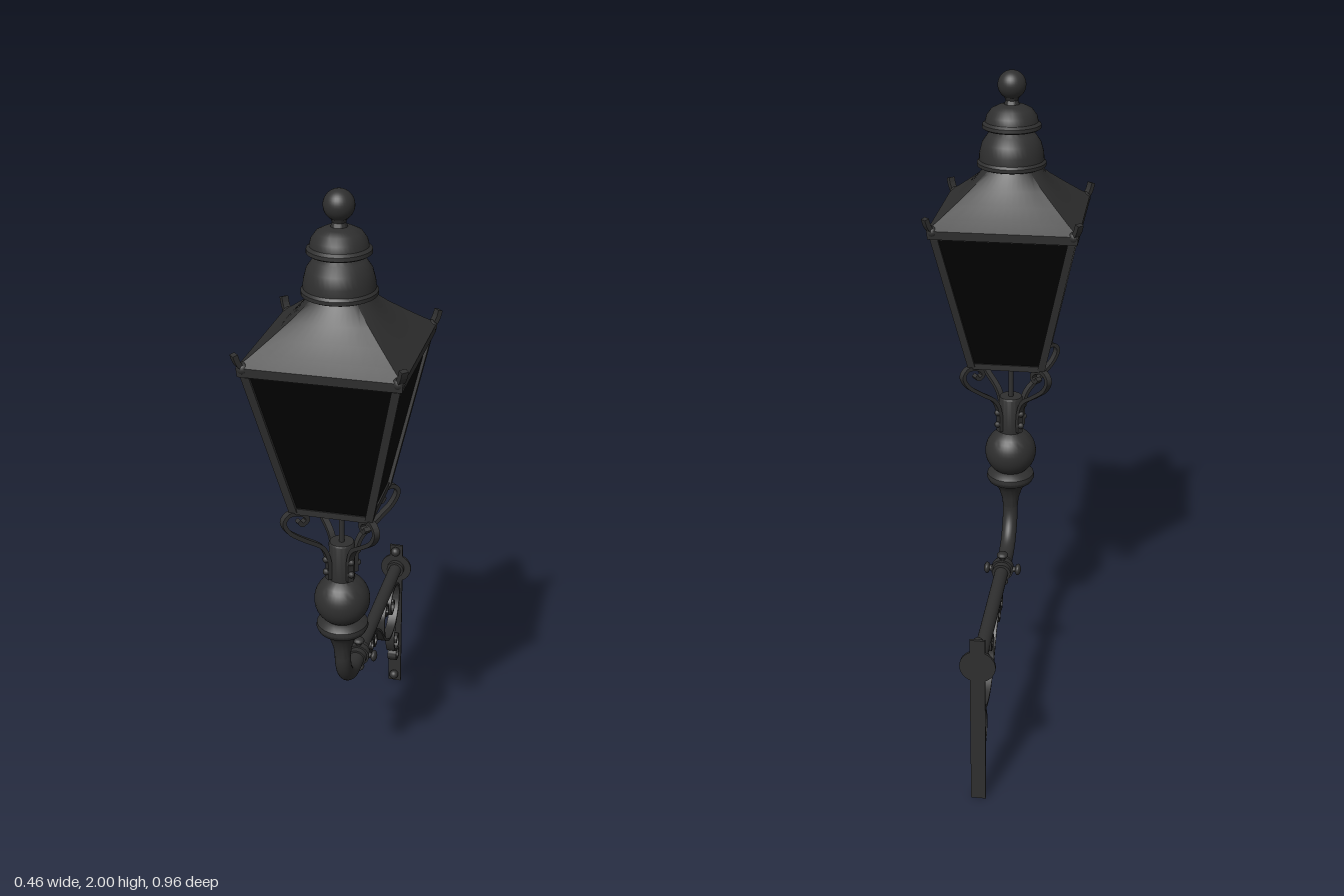
import * as THREE from 'three';
import { toCreasedNormals } from 'three/addons/utils/BufferGeometryUtils.js';

const iron = new THREE.MeshStandardMaterial({ color: 0x2f2f2f });
iron.name = 'iron';
const glass = new THREE.MeshStandardMaterial({ color: 0x020202 });
glass.name = 'dark glass';

const LAMP_Z = 0.25, ARM_Y = 0.475;

function add(parent, name, geometry, x = 0, y = 0, z = 0, material = iron) {
  const mesh = new THREE.Mesh(geometry, material);
  mesh.name = name;
  mesh.position.set(x, y, z);
  parent.add(mesh);
  return mesh;
}

const lathe = (pts, n = 40) =>
  toCreasedNormals(new THREE.LatheGeometry(pts.map(p => new THREE.Vector2(...p)), n), 0.6);

// Box-section bar between two points
function bar(parent, name, a, b, w, d) {
  const A = new THREE.Vector3(...a), B = new THREE.Vector3(...b);
  const mesh = add(parent, name, new THREE.BoxGeometry(w, A.distanceTo(B), d));
  mesh.position.copy(A).add(B).multiplyScalar(0.5);
  mesh.quaternion.setFromUnitVectors(new THREE.Vector3(0, 1, 0), B.sub(A).normalize());
}

// Flat strip of iron bent along a plane curve, extruded to a width
function strip(pts, thick, width) {
  const curve = new THREE.SplineCurve(pts.map(p => new THREE.Vector2(...p)));
  const n = pts.length * 6, left = [], right = [];
  for (let i = 0; i <= n; i++) {
    const p = curve.getPoint(i / n), t = curve.getTangent(i / n);
    left.push(new THREE.Vector2(p.x - t.y * thick / 2, p.y + t.x * thick / 2));
    right.unshift(new THREE.Vector2(p.x + t.y * thick / 2, p.y - t.x * thick / 2));
  }
  const g = new THREE.ExtrudeGeometry(new THREE.Shape([...left, ...right]),
    { depth: width, bevelEnabled: false });
  g.translate(0, 0, -width / 2);
  return toCreasedNormals(g, 0.6);
}

// Roof skin: square eaves blending upward into a round neck
function roofGeometry() {
  const rings = [[0.19, 1.56, 0], [0.214, 1.56, 0], [0.216, 1.585, 0], [0.185, 1.61, 0.02],
    [0.147, 1.645, 0.1], [0.113, 1.68, 0.3], [0.085, 1.715, 0.65], [0.066, 1.745, 1]];
  const n = 48, pos = [], idx = [];
  rings.forEach(([h, y, round], j) => {
    for (let i = 0; i <= n; i++) {
      const a = (i / n) * Math.PI * 2 + Math.PI / 4, c = Math.cos(a), s = Math.sin(a);
      const r = h * (round + (1 - round) / Math.max(Math.abs(c), Math.abs(s)));
      pos.push(r * s, y, r * c);
      if (j && i < n) {
        const q = (j - 1) * (n + 1) + i, u = q + n + 1;
        idx.push(q, q + 1, u + 1, q, u + 1, u);
      }
    }
  });
  const g = new THREE.BufferGeometry();
  g.setAttribute('position', new THREE.Float32BufferAttribute(pos, 3));
  g.setIndex(idx);
  return toCreasedNormals(g, 0.6);
}

function buildWallBracket() {
  const g = new THREE.Group();
  g.name = 'wallBracket';
  add(g, 'wallPlate', new THREE.BoxGeometry(0.044, 0.56, 0.008), 0, 0.284, -0.476);
  const disc = (name, r, len, z) =>
    add(g, name, new THREE.CylinderGeometry(r, r, len, 32).rotateX(Math.PI / 2), 0, ARM_Y, z);
  disc('wallRose', 0.052, 0.008, -0.476);
  disc('armSocket', 0.029, 0.016, -0.465);
  for (const y of [0.035, 0.545]) {
    add(g, 'wallBolt', new THREE.SphereGeometry(0.016, 16, 12), 0, y, -0.461);
  }

  // Arm and elbow
  add(g, 'arm', new THREE.CylinderGeometry(0.021, 0.021, 0.54, 24).rotateX(Math.PI / 2), 0, ARM_Y, -0.205);
  const elbow = [[0.05, ARM_Y]];
  for (let i = 0; i <= 10; i++) {
    const a = (i / 10) * Math.PI / 2;
    elbow.push([0.12 + 0.13 * Math.sin(a), ARM_Y + 0.13 * (1 - Math.cos(a))]);
  }
  const path = new THREE.CatmullRomCurve3(elbow.map(([z, y]) => new THREE.Vector3(0, y, z)));
  add(g, 'elbow', new THREE.TubeGeometry(path, 40, 0.024, 24));

  // Coupling with its set screws
  disc('coupling', 0.029, 0.06, 0.057);
  disc('couplingRing', 0.035, 0.022, 0.057);
  for (let i = 0; i < 4; i++) {
    const a = i * Math.PI / 2, c = Math.cos(a), s = Math.sin(a);
    const screw = new THREE.Group();
    screw.name = 'setScrew';
    screw.position.set(c * 0.04, ARM_Y + s * 0.04, 0.057);
    screw.rotation.z = a - Math.PI / 2;
    g.add(screw);
    add(screw, 'screwStem', new THREE.CylinderGeometry(0.009, 0.009, 0.02, 12));
    add(screw, 'screwHead', new THREE.SphereGeometry(0.018, 14, 10).scale(1, 0.55, 1), 0, 0.009, 0);
  }

  // Scrollwork below the arm, points as (z, y)
  const scrolls = [
    [[-0.07, 0.452], [-0.13, 0.442], [-0.19, 0.4], [-0.25, 0.33], [-0.32, 0.283], [-0.39, 0.28], [-0.445, 0.318],
      [-0.468, 0.375], [-0.455, 0.42], [-0.41, 0.443], [-0.36, 0.435], [-0.335, 0.4], [-0.35, 0.365],
      [-0.38, 0.365], [-0.39, 0.39], [-0.37, 0.405]],
    [[-0.085, 0.449], [-0.062, 0.449], [-0.046, 0.43], [-0.058, 0.409], [-0.08, 0.411], [-0.086, 0.43], [-0.072, 0.438]],
    [[-0.1, 0.446], [-0.094, 0.415], [-0.108, 0.396], [-0.129, 0.401], [-0.132, 0.422], [-0.115, 0.43]],
    [[-0.258, 0.325], [-0.242, 0.37], [-0.245, 0.415], [-0.27, 0.445], [-0.295, 0.435], [-0.297, 0.41],
      [-0.275, 0.405], [-0.268, 0.42]],
    [[-0.452, 0.32], [-0.41, 0.275], [-0.393, 0.225], [-0.41, 0.178], [-0.445, 0.163], [-0.468, 0.182],
      [-0.462, 0.21], [-0.438, 0.207], [-0.435, 0.19]],
    [[-0.435, 0.162], [-0.425, 0.14], [-0.437, 0.12], [-0.46, 0.12], [-0.468, 0.142], [-0.455, 0.157]],
  ];
  for (const s of scrolls) add(g, 'scroll', strip(s, 0.008, 0.03).rotateY(-Math.PI / 2));
  return g;
}

function buildPost() {
  const g = new THREE.Group();
  g.name = 'post';
  const profile = [[0.024, 0.6], [0.027, 0.63], [0.038, 0.665], [0.052, 0.685], [0.07, 0.697], [0.076, 0.71],
    [0.074, 0.722], [0.062, 0.733]];
  for (let i = 0; i <= 12; i++) {
    const a = -0.9 + (i / 12) * 2;
    profile.push([0.081 * Math.cos(a), 0.8 + 0.08 * Math.sin(a)]);
  }
  profile.push([0.037, 0.88], [0.037, 0.985], [0.034, 0.99], [0, 0.99]);
  add(g, 'balusterPost', lathe(profile));
  add(g, 'gasPipe', new THREE.CylinderGeometry(0.008, 0.008, 0.16, 12), 0, 1.06, 0);

  // Four curled stays rising to the lantern corners, points as (radius, y)
  const stay = [[0.044, 0.88], [0.045, 0.94], [0.065, 0.99], [0.12, 1.03], [0.165, 1.065], [0.184, 1.1],
    [0.168, 1.122], [0.14, 1.12], [0.118, 1.108], [0.112, 1.092], [0.128, 1.083], [0.139, 1.096]];
  for (let k = 0; k < 4; k++) {
    const a = Math.PI / 4 + k * Math.PI / 2;
    add(g, 'stay', strip(stay, 0.012, 0.018).rotateY(a));
    for (const y of [0.905, 0.945]) {
      add(g, 'stayBolt', new THREE.SphereGeometry(0.01, 10, 8), Math.cos(a) * 0.052, y, -Math.sin(a) * 0.052);
    }
  }
  return g;
}

function buildLantern() {
  const g = new THREE.Group();
  g.name = 'lantern';
  const q = Math.SQRT2;
  const panes = new THREE.CylinderGeometry(0.2 * q, 0.107 * q, 0.43, 4, 1).rotateY(Math.PI / 4);
  add(g, 'glassPanes', toCreasedNormals(panes, 0.3), 0, 1.345, 0, glass);

  // Corner bars, rails and upturned horns, one set per side
  for (let k = 0; k < 4; k++) {
    const side = new THREE.Group();
    side.name = 'frameSide';
    side.rotation.y = k * Math.PI / 2;
    g.add(side);
    bar(side, 'cornerBar', [0.106, 1.13, 0.106], [0.199, 1.57, 0.199], 0.022, 0.022);
    bar(side, 'bottomRail', [-0.112, 1.132, 0.106], [0.112, 1.132, 0.106], 0.018, 0.016);
    bar(side, 'topRail', [-0.205, 1.568, 0.2], [0.205, 1.568, 0.2], 0.022, 0.02);
    const horn = [[0.275, 1.575], [0.293, 1.588], [0.303, 1.603], [0.309, 1.622]];
    add(side, 'horn', strip(horn, 0.014, 0.02).rotateY(Math.PI / 4));
    add(side, 'hornBoss', new THREE.SphereGeometry(0.017, 12, 10), 0.202, 1.58, 0.202);
  }

  add(g, 'roof', roofGeometry());
  // Stacked vent hoods with ball finial
  add(g, 'lowerHood', lathe([[0.06, 1.735], [0.095, 1.725], [0.101, 1.728], [0.101, 1.738], [0.095, 1.745],
    [0.094, 1.765], [0.086, 1.795], [0.07, 1.818], [0.05, 1.828], [0.04, 1.845]]));
  add(g, 'upperHood', lathe([[0.035, 1.842], [0.08, 1.834], [0.086, 1.838], [0.085, 1.848], [0.077, 1.855],
    [0.073, 1.872], [0.06, 1.89], [0.04, 1.9], [0.022, 1.904], [0.018, 1.915], [0.024, 1.93]]));
  add(g, 'ballFinial', new THREE.SphereGeometry(0.041, 32, 20), 0, 1.959, 0);
  return g;
}

export function createModel() {
  const model = new THREE.Group();
  model.name = 'wallLantern';
  const post = buildPost(), lantern = buildLantern();
  post.position.z = lantern.position.z = LAMP_Z;
  model.add(buildWallBracket(), post, lantern);
  return model;
}
